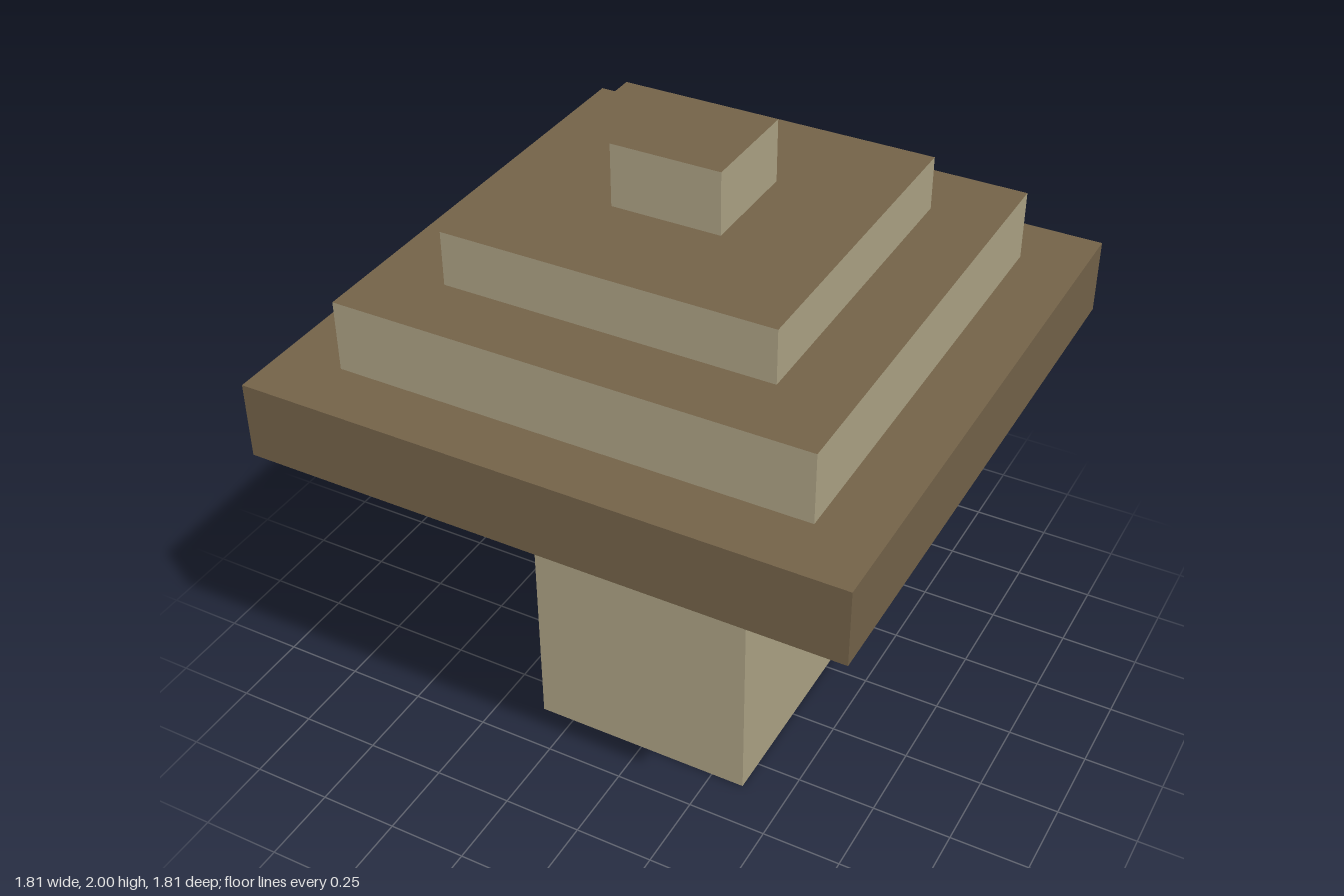
import * as THREE from 'three';

export function createModel() {
  const tan = new THREE.MeshStandardMaterial({ color: 0xada385 });
  tan.name = 'tan';
  const brown = new THREE.MeshStandardMaterial({ color: 0x746349 });
  brown.name = 'brown';
  const palette = [tan, brown];
  const TAN = 0, BROWN = 1;

  const group = new THREE.Group();
  group.name = 'steppedMushroom';

  function add(name, geometry, material) {
    const mesh = new THREE.Mesh(geometry, material);
    mesh.name = name;
    group.add(mesh);
    return mesh;
  }

  // Square block given by half width, bottom and top
  function block(name, half, y0, y1, material, rows = 1) {
    const geo = new THREE.BoxGeometry(half * 2, y1 - y0, half * 2, 1, rows, 1);
    geo.translate(0, (y0 + y1) / 2, 0);
    return add(name, geo, material);
  }

  // Stem and wide cap slab
  block('stem', 0.358, 0.002, 1.195, tan);
  block('capSlab', 0.903, 1.195, 1.43, brown);

  // Tiers: brown top, tan sides, brown lower half on the back and the -x side
  const tiers = [
    ['lowerTier', 0.714, 1.43, 1.645],
    ['middleTier', 0.5, 1.645, 1.81],
    ['topTier', 0.167, 1.81, 2],
  ];
  for (const [name, half, y0, y1] of tiers) {
    const geo = block(name, half, y0, y1, palette, 2).geometry;
    geo.clearGroups();
    geo.addGroup(0, 12, TAN); // +x side
    geo.addGroup(12, 6, TAN); // -x side, upper half
    geo.addGroup(18, 6, BROWN); // -x side, lower half
    geo.addGroup(24, 12, BROWN); // top and underside
    geo.addGroup(36, 12, TAN); // front
    geo.addGroup(48, 6, TAN); // back, upper half
    geo.addGroup(54, 6, BROWN); // back, lower half
  }

  // Brown patch with a rounded corner on the back of the middle tier
  const patch = new THREE.Shape();
  patch.moveTo(-0.5, 1.7275);
  patch.lineTo(-0.2, 1.7275);
  patch.quadraticCurveTo(-0.26, 1.7275, -0.26, 1.775);
  patch.lineTo(-0.26, 1.81);
  patch.lineTo(-0.5, 1.81);
  const patchGeo = new THREE.ShapeGeometry(patch, 8);
  patchGeo.rotateY(Math.PI);
  patchGeo.translate(0, 0, -0.502);
  add('middleTierBackPatch', patchGeo, brown);

  // Brown stain under the stem, drawn as x and z
  const stain = new THREE.Shape();
  stain.moveTo(-0.358, -0.358);
  stain.lineTo(0.358, -0.358);
  stain.lineTo(0.358, -0.11);
  stain.lineTo(-0.08, -0.09);
  stain.quadraticCurveTo(-0.15, -0.08, -0.16, -0.02);
  stain.lineTo(-0.15, 0.04);
  stain.quadraticCurveTo(-0.15, 0.07, -0.2, 0.07);
  stain.lineTo(-0.358, 0.07);
  const stainGeo = new THREE.ShapeGeometry(stain, 8);
  stainGeo.rotateX(Math.PI / 2);
  add('stemUndersideStain', stainGeo, brown);

  return group;
}
